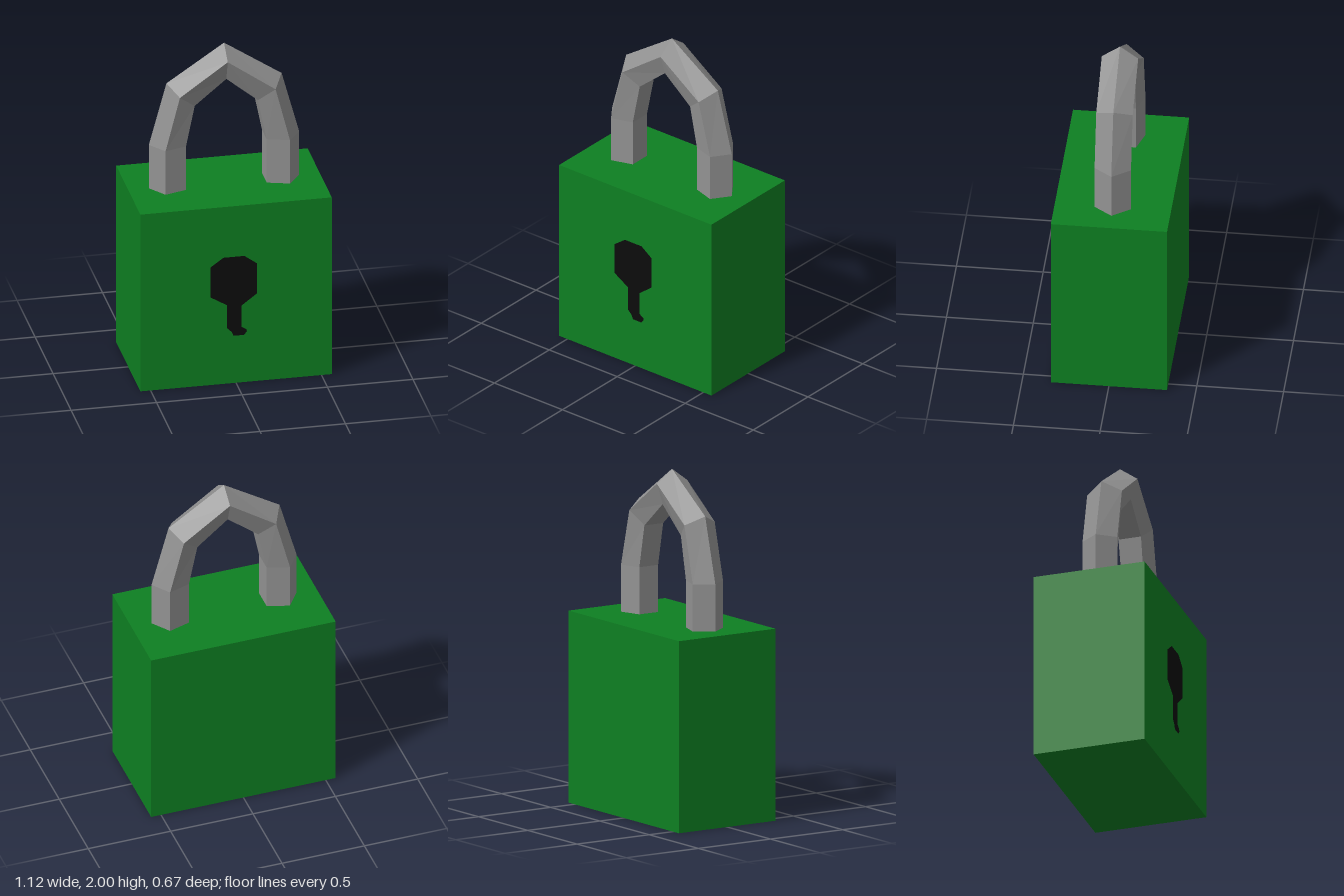
import * as THREE from 'three';

const green = new THREE.MeshStandardMaterial({ name: 'green', color: 0x0e8022 });
const grey = new THREE.MeshStandardMaterial({ name: 'grey', color: 0x929292, flatShading: true });
const black = new THREE.MeshStandardMaterial({ name: 'black', color: 0x0c0c0c });

const BODY = { w: 1.12, h: 1.12, d: 0.67 };

// Pentagonal bar swept along the arch; each station gives the [x, y] of its
// outer ridge, its side edges and its inner face.
function shackleGeometry() {
  const half = [
    [[0.44, 1.1], [0.364, 1.1], [0.236, 1.1]],
    [[0.44, 1.395], [0.364, 1.395], [0.236, 1.395]],
    [[0.337, 1.775], [0.28, 1.725], [0.185, 1.647]],
  ];
  const top = [[0, 2], [0, 1.924], [0, 1.8]];
  const mirrored = half.map(s => s.map(([x, y]) => [-x, y]));
  const stations = [...mirrored, top, ...half.reverse()];

  const rings = stations.map(([o, m, i]) => [
    [...o, 0], [...m, 0.105], [...i, 0.065], [...i, -0.065], [...m, -0.105],
  ]);
  const pos = [];
  for (let r = 0; r < rings.length - 1; r++) {
    for (let j = 0; j < 5; j++) {
      const k = (j + 1) % 5;
      const a = rings[r][j], b = rings[r][k], c = rings[r + 1][k], d = rings[r + 1][j];
      pos.push(...a, ...b, ...c, ...a, ...c, ...d);
    }
  }
  const geo = new THREE.BufferGeometry();
  geo.setAttribute('position', new THREE.Float32BufferAttribute(pos, 3));
  geo.computeVertexNormals();
  return geo;
}

// Keyhole outline: chamfered head, narrow stem and a small foot
function keyholeGeometry() {
  const outline = [
    [-0.074, 0.8], [-0.15, 0.746], [-0.15, 0.556], [-0.053, 0.497],
    [-0.053, 0.352], [-0.026, 0.325], [-0.015, 0.3], [0.045, 0.3],
    [0.063, 0.32], [0.06, 0.335], [0.032, 0.352], [0.032, 0.487],
    [0.122, 0.556], [0.122, 0.746], [0.048, 0.8],
  ];
  const shape = new THREE.Shape(outline.map(([x, y]) => new THREE.Vector2(x, y)));
  return new THREE.ShapeGeometry(shape);
}

export function createModel() {
  const group = new THREE.Group();
  group.name = 'padlock';

  const add = (name, geo, mat) => {
    const mesh = new THREE.Mesh(geo, mat);
    mesh.name = name;
    group.add(mesh);
    return mesh;
  };

  add('body', new THREE.BoxGeometry(BODY.w, BODY.h, BODY.d), green).position.y = BODY.h / 2;
  add('shackle', shackleGeometry(), grey);
  add('keyhole', keyholeGeometry(), black).position.z = BODY.d / 2 + 0.002;

  return group;
}
